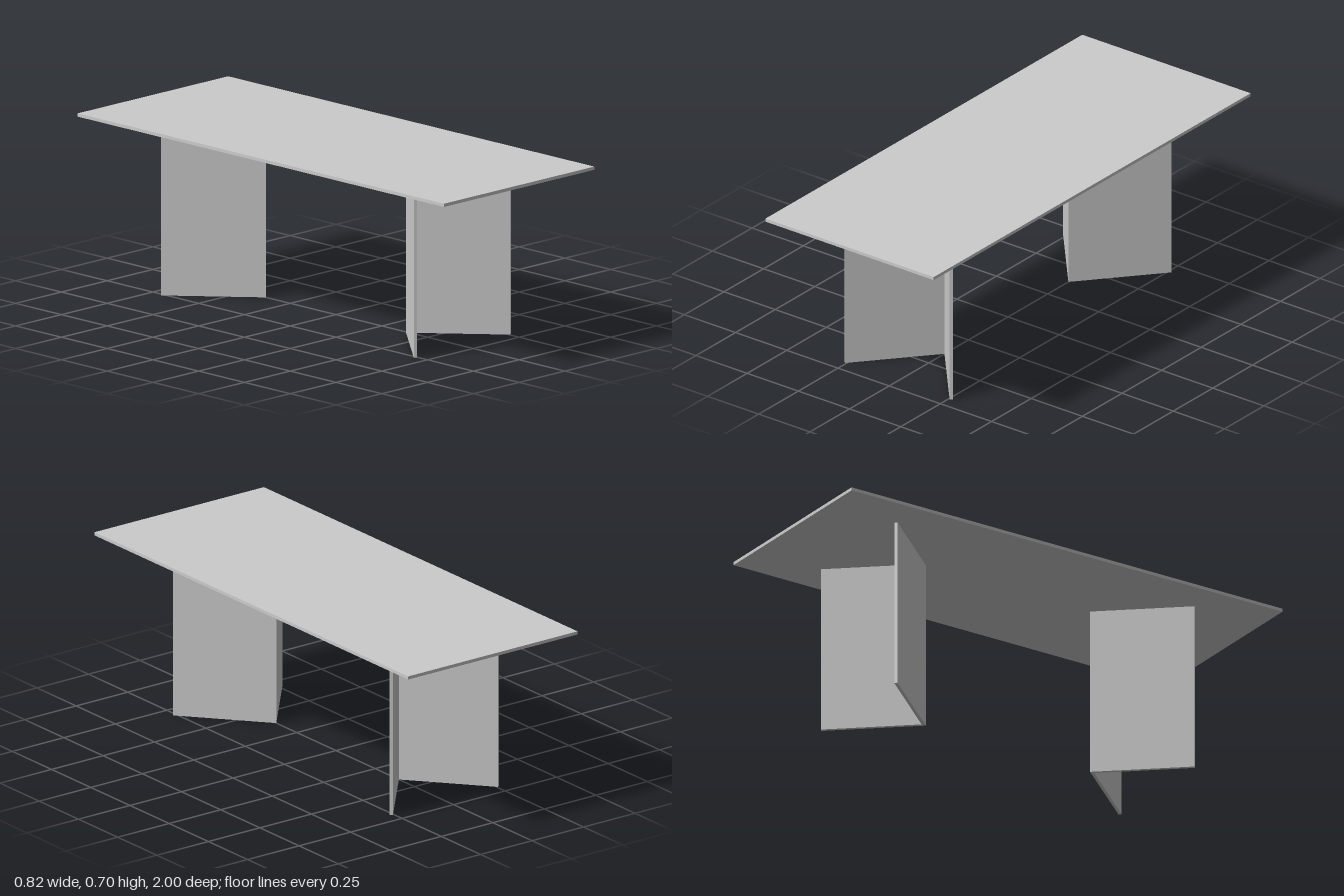
import * as THREE from 'three';

const TOP_Y = 0.696, THICK = 0.013, LEG_H = TOP_Y - THICK;

export function createModel() {
  const group = new THREE.Group();
  group.name = 'table';
  const material = new THREE.MeshStandardMaterial({ color: 0xcccccc, flatShading: true });

  // Thin rectangular table top
  const top = new THREE.Mesh(new THREE.BoxGeometry(0.822, THICK, 2), material);
  top.name = 'tableTop';
  top.position.y = TOP_Y - THICK / 2;
  group.add(top);

  // Upright panel, mitred at x = 0 and square at its outer end; plan points are [x, z]
  const plan = [[0, 0.381], [0.265, 0.69], [0.255, 0.698], [0, 0.401]];
  function panel(side) {
    const shape = new THREE.Shape(plan.map(([x, z]) => new THREE.Vector2(side * x, -z)));
    const geometry = new THREE.ExtrudeGeometry(shape, { depth: LEG_H, bevelEnabled: false });
    geometry.rotateX(-Math.PI / 2);
    const mesh = new THREE.Mesh(geometry, material);
    mesh.name = side > 0 ? 'leftPanel' : 'rightPanel';
    return mesh;
  }

  // Two V-shaped legs, each opening towards its end of the table
  for (const [name, turn] of [['frontLeg', 0], ['backLeg', Math.PI]]) {
    const leg = new THREE.Group();
    leg.name = name;
    leg.add(panel(1), panel(-1));
    leg.rotation.y = turn;
    group.add(leg);
  }
  return group;
}
